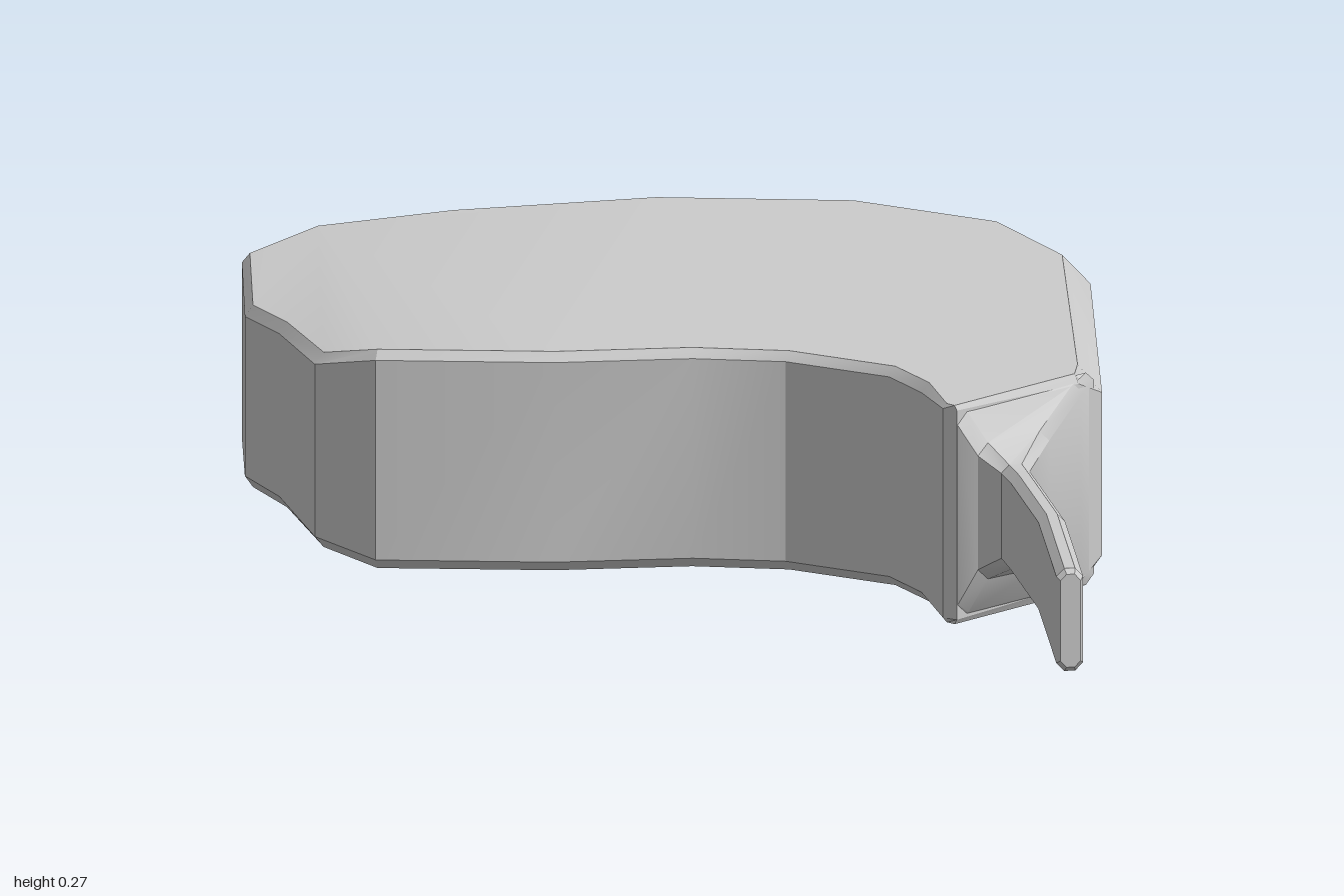
import * as THREE from 'three';
import { toCreasedNormals } from 'three/addons/utils/BufferGeometryUtils.js';

const H = 0.273; // body thickness
const material = new THREE.MeshStandardMaterial({ color: 0xcccccc });

// Body outline seen from above: x, z, bevel inset, bevel drop, top height
const outline = [
  [0.23, 0.325, 0.004, 0.006, H], [0.405, 0.155, 0.006, 0.012, H],
  [0.442, 0.1, 0.03, 0.035, H], [0.525, -0.57, 0.035, 0.037, H],
  [0.45, -0.79, 0.012, 0.01, H], [0.29, -0.945, 0.01, 0.01, H],
  [0.05, -1.0, 0.01, 0.01, H], [-0.21, -0.957, 0.01, 0.01, H],
  [-0.39, -0.885, 0.01, 0.01, H], [-0.49, -0.8, 0.01, 0.012, 0.258],
  [-0.527, -0.52, 0.01, 0.014, 0.25], [-0.502, -0.4, 0.01, 0.014, 0.252],
  [-0.49, -0.18, 0.012, 0.014, 0.258], [-0.425, -0.11, 0.01, 0.012, H],
  [-0.21, -0.065, 0.01, 0.012, H], [-0.04, -0.065, 0.01, 0.012, H],
  [0.07, -0.03, 0.01, 0.012, H], [0.182, 0.08, 0.01, 0.012, H],
  [0.207, 0.18, 0.01, 0.012, H], [0.215, 0.31, 0.005, 0.006, H],
];

// Joins closed rings of points into a skin; caps are lists of [ring, point order]
function skin(rings, caps) {
  const n = rings[0].length;
  const index = [];
  for (let r = 0; r < rings.length - 1; r++) {
    for (let i = 0; i < n; i++) {
      const j = (i + 1) % n, a = r * n, b = a + n;
      index.push(a + i, a + j, b + j, a + i, b + j, b + i);
    }
  }
  for (const [ring, faces] of caps) {
    for (const f of faces) index.push(...f.map((k) => ring * n + k));
  }
  const g = new THREE.BufferGeometry();
  g.setAttribute('position', new THREE.Float32BufferAttribute(rings.flat(2), 3));
  g.setIndex(index);
  return toCreasedNormals(g, 0.45);
}

function bodyGeometry() {
  const n = outline.length;
  const ring = (inset, top) => outline.map(([x, z, b, d, h], i) => {
    const p = outline[(i + n - 1) % n], q = outline[(i + 1) % n];
    const tx = q[0] - p[0], tz = q[1] - p[1], len = Math.hypot(tx, tz);
    const y = inset ? h : h - d;
    const k = inset ? b / len : 0;
    return [x + tz * k, top ? y : H - y, z - tx * k];
  });
  const rings = [ring(true, false), ring(false, false), ring(false, true), ring(true, true)];

  // The flat top and the slightly sunken left margin are filled separately
  const all = outline.map((_, i) => i);
  const parts = [all.filter((i) => i < 9 || i > 12), all.filter((i) => i >= 8 && i <= 13)];
  const faces = parts.flatMap((part) => THREE.ShapeUtils.triangulateShape(
    part.map((i) => new THREE.Vector2(rings[3][i][0], -rings[3][i][2])), [],
  ).map((f) => f.map((k) => part[k])));
  return skin(rings, [[3, faces], [0, faces.map((f) => [...f].reverse())]]);
}

// Chamfered upright section between a left and a right point
function section([xl, zl, xr, zr, y0, y1, c]) {
  const cx = Math.min(c, Math.abs(xr - xl) * 0.3) / (xr - xl);
  const at = (t, y) => [xl + (xr - xl) * t, y, zl + (zr - zl) * t];
  return [
    at(cx, y0), at(1 - cx, y0), at(1, y0 + c), at(1, y1 - c),
    at(1 - cx, y1), at(cx, y1), at(0, y1 - c), at(0, y0 + c),
  ];
}

function handleGeometry() {
  // Sections run from the full-height neck to the tip of the thin handle
  const rings = [
    [0.225, 0.32, 0.43, 0.115, 0.004, H - 0.004, 0.012],
    [0.232, 0.325, 0.408, 0.155, 0.012, H - 0.012, 0.014],
    [0.255, 0.332, 0.355, 0.25, 0.055, 0.225, 0.014],
    [0.28, 0.358, 0.316, 0.352, 0.078, 0.204, 0.01],
    [0.283, 0.42, 0.316, 0.42, 0.076, 0.204, 0.01],
    [0.282, 0.66, 0.315, 0.66, 0.076, 0.204, 0.01],
    [0.256, 0.992, 0.289, 0.992, 0.076, 0.204, 0.01],
    [0.26, 1.0, 0.285, 1.0, 0.082, 0.198, 0.008],
  ].map(section);
  const fan = [];
  for (let i = 1; i < 7; i++) fan.push([0, i, i + 1]);
  return skin(rings, [[rings.length - 1, fan], [0, fan.map((f) => [...f].reverse())]]);
}

export function createModel() {
  const group = new THREE.Group();
  group.name = 'paddle';
  for (const [name, geometry] of [['body', bodyGeometry()], ['neckAndHandle', handleGeometry()]]) {
    const mesh = new THREE.Mesh(geometry, material);
    mesh.name = name;
    group.add(mesh);
  }
  return group;
}
